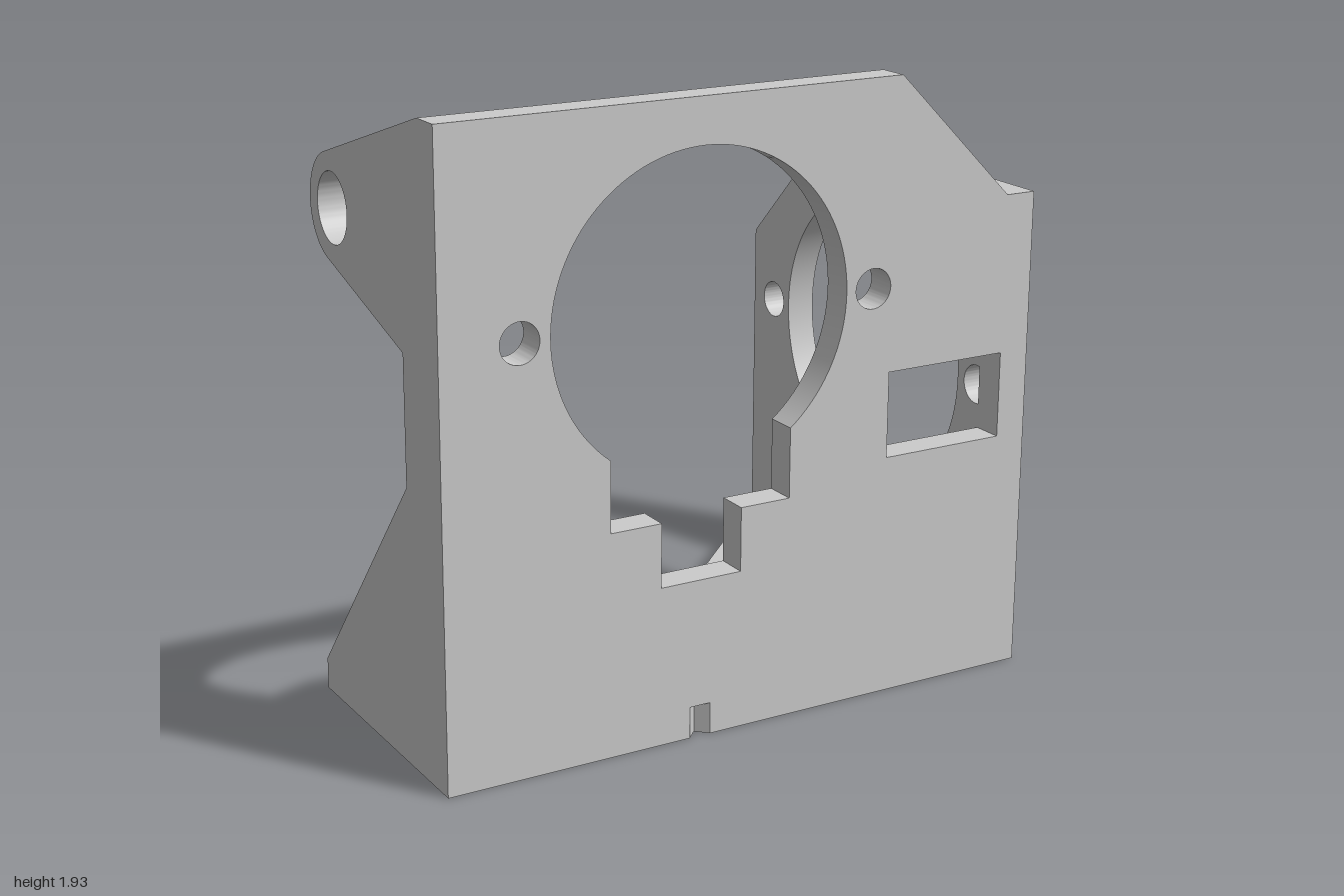
import * as THREE from 'three';
import { toCreasedNormals } from 'three/addons/utils/BufferGeometryUtils.js';

const T = 0.1; // sheet thickness
const material = new THREE.MeshStandardMaterial({ color: 0xcccccc });

const points = (list) => list.map(([x, y]) => new THREE.Vector2(x, y));
const polygonHole = (list) => new THREE.Path(points(list));
const roundHole = (x, y, r = 0.062) => new THREE.Path().absarc(x, y, r, 0, Math.PI * 2);

// Round motor opening with a two-step slot below it
function motorOpening(cx, cy) {
  const r = 0.49, w1 = 0.302, w2 = 0.135, a = Math.acos(w1 / r);
  const path = new THREE.Path();
  path.absarc(cx, cy, r, -a, Math.PI + a);
  for (const [x, y] of [[-w1, -0.605], [-w2, -0.605], [-w2, -0.805],
    [w2, -0.805], [w2, -0.605], [w1, -0.605]]) path.lineTo(cx + x, cy + y);
  path.closePath();
  return path;
}

// Motor opening with a screw hole on each side
const motorMount = (cx, cy) =>
  [motorOpening(cx, cy), roundHole(cx - 0.585, cy), roundHole(cx + 0.585, cy)];

function plate(name, shape, holes, place) {
  shape.holes.push(...holes);
  const geometry = new THREE.ExtrudeGeometry(shape, { depth: T, bevelEnabled: false, curveSegments: 48 });
  place(geometry);
  const mesh = new THREE.Mesh(toCreasedNormals(geometry, 0.4), material);
  mesh.name = name;
  return mesh;
}

export function createModel() {
  const group = new THREE.Group();
  group.name = 'motorBracket';
  const front = 0.705, inner = front - T, back = -0.165;

  // Base, drawn in x and z, with a V notch in the front and back edges
  const base = new THREE.Shape(points([
    [-1, back], [-0.205, back], [-0.17, back + 0.035], [-0.135, back], [0.335, back],
    [0.9, -front], [0.9, front],
    [-0.135, front], [-0.17, front - 0.035], [-0.205, front], [-1, front],
  ]));
  group.add(plate('basePlate', base,
    [roundHole(-0.735, 0), roundHole(-0.005, 0.433), roundHole(0.73, -0.268)],
    (g) => g.rotateX(Math.PI / 2).translate(0, T, 0)));

  // Front plate with motor mount and cable window
  const frontShape = new THREE.Shape(points([
    [-1, T], [0.9, T], [0.9, 1.535], [0.5, 1.935], [-1, 1.935],
  ]));
  const cableWindow = polygonHole([[0.482, 0.768], [0.899, 0.768], [0.899, 1.038], [0.482, 1.038]]);
  group.add(plate('frontPlate', frontShape, [...motorMount(-0.169, 1.305), cableWindow],
    (g) => g.translate(0, 0, inner)));

  // Side plates, drawn in z and y
  const placeSide = (x) => (g) => g.rotateY(-Math.PI / 2).translate(x, 0, 0);
  const side = new THREE.Shape(points([
    [-front, 0], [front, 0], [front, 1.535], [-0.3, 1.535], [-front, 1.13],
  ]));
  group.add(plate('leftMotorPlate', side, motorMount(0.005, 0.905), placeSide(1)));

  // Slanted gusset with an arm ending in a round eye
  const arm = new THREE.Shape();
  arm.moveTo(inner, T);
  arm.lineTo(inner, 1.935);
  arm.absarc(0.003, 1.57, 0.165, Math.PI * 0.6, Math.PI * 1.4);
  arm.lineTo(0.475, 1.255);
  arm.lineTo(0.475, 0.86);
  arm.lineTo(back, T);
  arm.closePath();
  group.add(plate('rightArmPlate', arm, [roundHole(0.003, 1.57, 0.108)], placeSide(-0.9)));

  return group;
}
